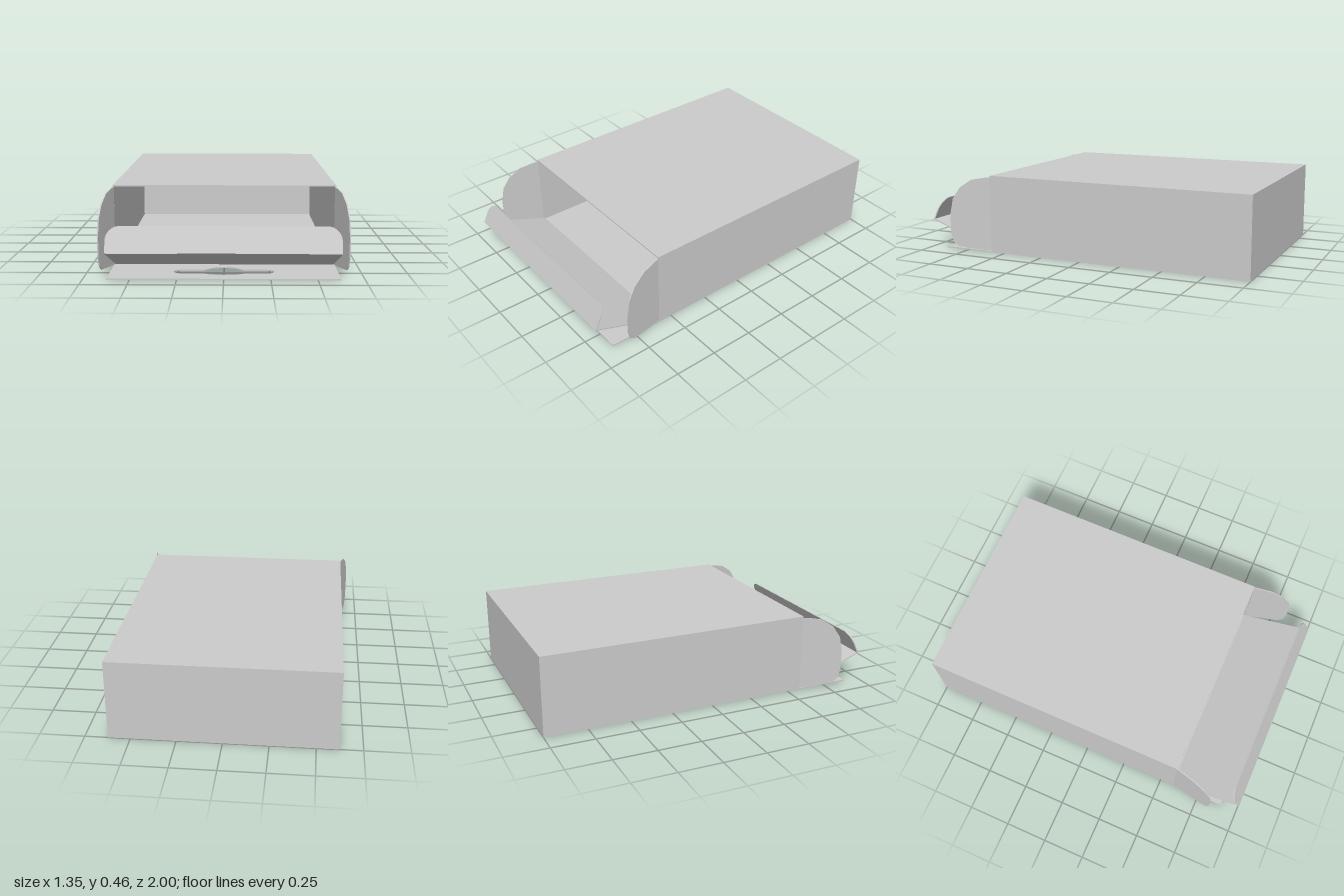
import * as THREE from 'three';

const T = 0.007;      // card thickness
const W = 1.245;      // carton width
const H = 0.46;       // carton height
const MOUTH = 0.585;  // z of the open end
const BACK = -1;

export function createModel() {
  const carton = new THREE.Group();
  carton.name = 'openCarton';
  const card = new THREE.MeshStandardMaterial({ color: 0xcccccc });

  const add = (name, geometry, x = 0, y = 0, z = 0) => {
    const mesh = new THREE.Mesh(geometry, card);
    mesh.name = name;
    mesh.position.set(x, y, z);
    carton.add(mesh);
    return mesh;
  };
  const sheet = (shape) =>
    new THREE.ExtrudeGeometry(shape, { depth: T, bevelEnabled: false, curveSegments: 10 });

  // Sleeve: top, back and two sides
  const depth = MOUTH - BACK, midZ = (MOUTH + BACK) / 2;
  add('topPanel', new THREE.BoxGeometry(W, T, depth), 0, H - T / 2, midZ);
  add('backPanel', new THREE.BoxGeometry(W - 2 * T, H - 2 * T, T), 0, H / 2, BACK + T / 2);
  for (const s of [-1, 1]) {
    add(s > 0 ? 'leftSide' : 'rightSide', new THREE.BoxGeometry(T, H - 2 * T, depth),
      s * (W - T) / 2, H / 2, midZ);
  }

  // Base with a hanging tab, drawn in x and z
  const base = new THREE.Shape();
  base.moveTo(-W / 2, BACK);
  base.lineTo(W / 2, BACK);
  base.lineTo(W / 2, 0.9);
  base.lineTo(-W / 2, 0.9);
  base.closePath();
  // Hanger slot: rounded bar with a bump on each long edge
  const slot = new THREE.Path();
  const c = 0.745, r = 0.043;
  slot.moveTo(-0.23, c - r);
  slot.lineTo(-0.12, c - r);
  slot.bezierCurveTo(-0.08, c - r, -0.08, 0.64, 0, 0.64);
  slot.bezierCurveTo(0.08, 0.64, 0.08, c - r, 0.12, c - r);
  slot.lineTo(0.23, c - r);
  slot.absarc(0.23, c, r, -Math.PI / 2, Math.PI / 2, false);
  slot.lineTo(0.12, c + r);
  slot.bezierCurveTo(0.09, c + r, 0.09, 0.815, 0.06, 0.815);
  slot.lineTo(-0.06, 0.815);
  slot.bezierCurveTo(-0.09, 0.815, -0.09, c + r, -0.12, c + r);
  slot.lineTo(-0.23, c + r);
  slot.absarc(-0.23, c, r, Math.PI / 2, Math.PI * 1.5, false);
  base.holes.push(slot);
  add('basePanelWithHangTab', sheet(base).rotateX(Math.PI / 2), 0, T, 0);

  // Side flaps, splayed outward: outline as [z, y]
  const splay = Math.atan(0.22);
  const outline = [
    [MOUTH, 0.012], [0.62, 0.012], [0.72, 0.02], [0.785, 0.028], [0.815, 0.05], [0.832, 0.105],
    [0.833, 0.22], [0.815, 0.315], [0.77, 0.385], [0.7, 0.432], [0.62, 0.447], [MOUTH, 0.45],
  ].map(([z, y]) => new THREE.Vector2((z - MOUTH) / Math.cos(splay), y));
  const flapGeometry = sheet(new THREE.Shape(outline)).translate(0, 0, -T / 2);
  for (const s of [-1, 1]) {
    const flap = add(s > 0 ? 'leftFlap' : 'rightFlap', flapGeometry, s * (W - T) / 2, 0, MOUTH);
    flap.rotation.y = -Math.PI / 2 + s * splay;
  }

  // Front closure hinged at the base and swung slightly up
  const lidW = 1.23;
  const hinge = new THREE.Vector2(0.58, 0.011), fold = new THREE.Vector2(0.995, 0.167);
  const run = fold.clone().sub(hinge);
  const lid = add('closurePanel', new THREE.BoxGeometry(lidW, T, run.length()),
    0, (hinge.y + fold.y) / 2, (hinge.x + fold.x) / 2);
  lid.rotation.x = -Math.atan2(run.y, run.x);

  // Tuck-in lip with rounded upper corners
  const lipH = 0.143, cx = 0.075, cy = 0.078, h = lidW / 2;
  const lip = new THREE.Shape();
  lip.moveTo(-h, 0);
  lip.lineTo(h, 0);
  lip.lineTo(h, lipH - cy);
  lip.absellipse(h - cx, lipH - cy, cx, cy, 0, Math.PI / 2, false);
  lip.absellipse(-h + cx, lipH - cy, cx, cy, Math.PI / 2, Math.PI, false);
  lip.closePath();
  const tuck = add('tuckLip', sheet(lip).translate(0, 0, -T / 2), 0, fold.y, fold.x);
  tuck.rotation.x = -Math.atan2(0.06, 0.128);

  return carton;
}
